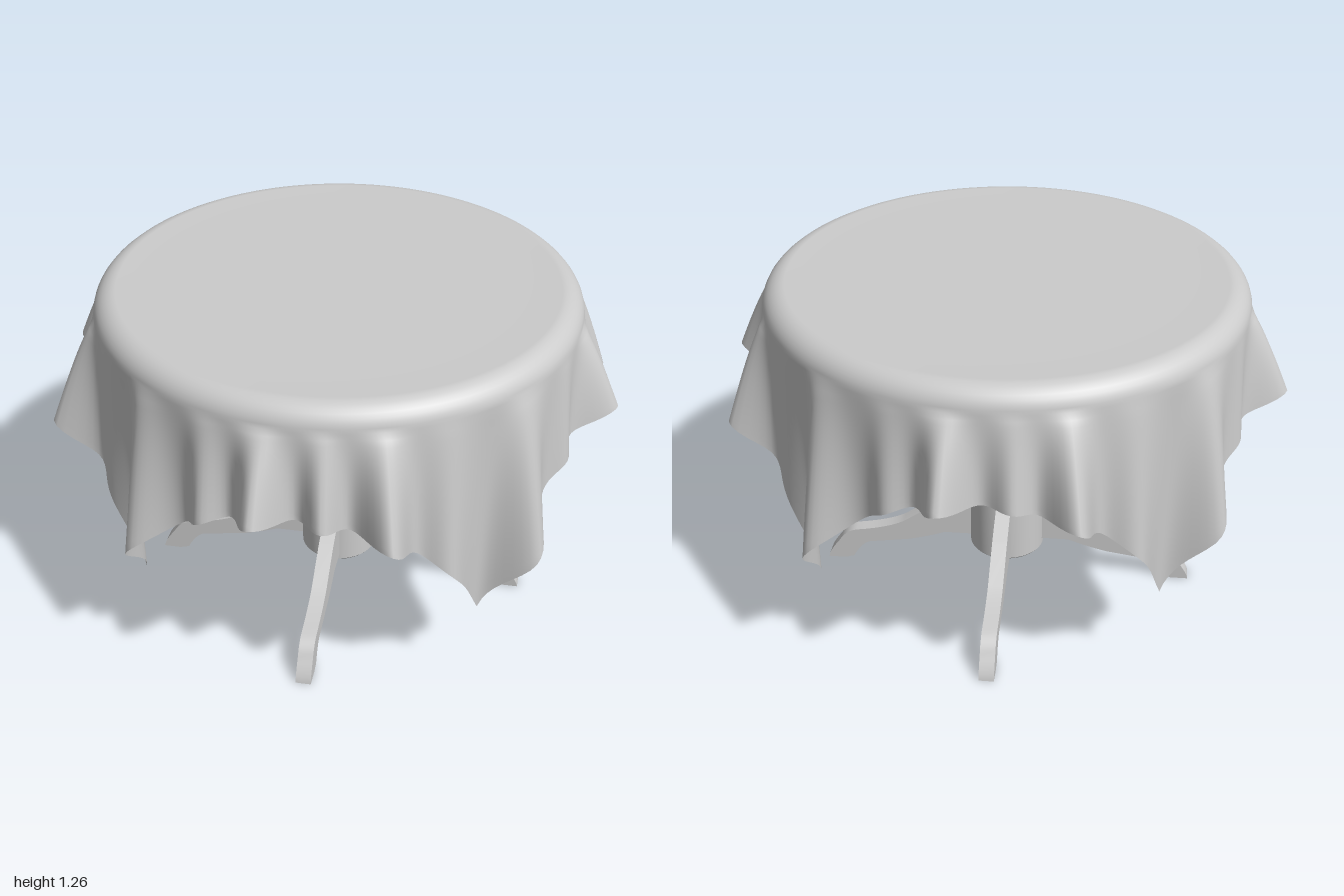
import * as THREE from 'three';
import { toCreasedNormals } from 'three/addons/utils/BufferGeometryUtils.js';

const material = new THREE.MeshStandardMaterial({ color: 0xcccccc });
const clothMaterial = new THREE.MeshStandardMaterial({ color: 0xcccccc, side: THREE.DoubleSide });

function part(name, geometry, mat = material) {
  const mesh = new THREE.Mesh(geometry, mat);
  mesh.name = name;
  return mesh;
}

function lathe(points, segments = 64) {
  const geometry = new THREE.LatheGeometry(points.map(([r, y]) => new THREE.Vector2(r, y)), segments);
  return toCreasedNormals(geometry, 0.6);
}

// Rounded bead between two heights, bulging from radius r0 to r1
function bead(y0, y1, r0, r1) {
  return Array.from({ length: 13 }, (_, i) => {
    const t = i / 12;
    return [r0 + (r1 - r0) * Math.sin(Math.PI * t), y0 + (y1 - y0) * t];
  });
}

// Folds of the cloth: [angle in degrees from +x towards +z, outward reach at the hem, width before, width after]
const FOLDS = [
  [-21, 0.155, 4.5, 4.5], [-7, 0.03, 4, 4], [4, 0.148, 5, 5], [19, 0.04, 4, 4],
  [36.5, 0.125, 6, 4.5], [45, -0.025, 4, 4], [56, 0.06, 5, 5],
  [70, 0.16, 4.5, 4.5], [83, 0.1, 3.5, 3.5], [96, 0.15, 4.5, 4.5], [109, 0.07, 4, 4],
  [126.5, 0.125, 6, 4.5], [135, -0.03, 4, 4], [146, 0.03, 5, 5],
  [158, 0.175, 4.5, 4.5], [170, 0.06, 4, 4], [185, 0.148, 4.5, 4.5], [199, 0.03, 4, 4],
  [215.5, 0.115, 6, 4.5], [225, -0.025, 4, 4], [236, 0.06, 5, 5],
  [251, 0.16, 4.5, 4.5], [263, 0.07, 4, 4], [277, 0.148, 4.5, 4.5], [290, 0.045, 4, 4],
  [308, 0.125, 6, 4.5], [315, -0.03, 4, 4], [326, 0.02, 5, 5],
];

// Outward reach of the hem at an angle
function foldReach(deg) {
  let reach = 0;
  for (const [angle, out, before, after] of FOLDS) {
    const d = ((deg - angle + 540) % 360) - 180;
    reach += out * Math.exp(-((d / (d < 0 ? before : after)) ** 2));
  }
  return reach;
}

// Square cloth draped over a round top: flat disc, rolled edge, then a pleated skirt
function clothGeometry() {
  const around = 360, half = 1.22, flat = 0.773, roll = 0.082, topY = 1.26;
  const arcSteps = 8, skirtSteps = 18;
  const rings = [];
  for (const r of [0, 0.3, 0.6, 0.72]) rings.push(() => [r, topY - 0.003]);
  for (let i = 0; i <= arcSteps; i++) {
    const a = (i / arcSteps) * Math.PI / 2;
    rings.push(() => [flat + roll * Math.sin(a), topY - roll * (1 - Math.cos(a))]);
  }
  for (let i = 1; i <= skirtSteps; i++) {
    const t = i / skirtSteps;
    rings.push((theta, reach) => {
      const hem = half / Math.max(Math.abs(Math.cos(theta)), Math.abs(Math.sin(theta)));
      const length = hem - flat - roll * Math.PI / 2;
      const drop = Math.sqrt(length * length - reach * reach);
      return [flat + roll + reach * t ** 0.8, topY - roll - drop * t];
    });
  }
  const positions = [], index = [];
  rings.forEach((ring, i) => {
    for (let j = 0; j < around; j++) {
      const theta = (j / around) * Math.PI * 2;
      const [r, y] = ring(theta, foldReach((j / around) * 360));
      positions.push(r * Math.cos(theta), y, r * Math.sin(theta));
      if (i === 0) continue;
      const k = (j + 1) % around;
      const a = (i - 1) * around + j, b = i * around + j;
      const c = (i - 1) * around + k, d = i * around + k;
      index.push(a, c, b, c, d, b);
    }
  });
  const geometry = new THREE.BufferGeometry();
  geometry.setAttribute('position', new THREE.Float32BufferAttribute(positions, 3));
  geometry.setIndex(index);
  geometry.computeVertexNormals();
  return geometry;
}

// Flat-sided curved leg, cut from a board and lying along +x
function legGeometry() {
  const thickness = 0.055;
  const s = new THREE.Shape();
  s.moveTo(0.1, 0.15);
  s.lineTo(0.24, 0.15);
  s.quadraticCurveTo(0.32, 0.12, 0.39, 0.105);
  s.lineTo(0.54, 0.083);
  s.quadraticCurveTo(0.575, 0.07, 0.605, 0.01);
  s.lineTo(0.64, 0);
  s.lineTo(0.705, 0);
  s.quadraticCurveTo(0.7, 0.03, 0.66, 0.08);
  s.quadraticCurveTo(0.635, 0.125, 0.59, 0.135);
  s.quadraticCurveTo(0.46, 0.155, 0.4, 0.19);
  s.lineTo(0.27, 0.28);
  s.quadraticCurveTo(0.21, 0.31, 0.14, 0.345);
  s.lineTo(0.1, 0.35);
  const geometry = new THREE.ExtrudeGeometry(s, { depth: thickness, bevelEnabled: false, curveSegments: 6 });
  geometry.translate(0, 0, -thickness / 2);
  return toCreasedNormals(geometry, 0.5);
}

export function createModel() {
  const table = new THREE.Group();
  table.name = 'pedestalTable';

  table.add(part('tablecloth', clothGeometry(), clothMaterial));

  // Round top with a deep rim and a recessed underside
  table.add(part('tabletop', lathe([
    [0, 1.16], [0.74, 1.16], [0.74, 1.04], [0.815, 1.04], [0.815, 1.21], [0.775, 1.245], [0, 1.245],
  ], 96)));

  // Turned column: two beads, a ball, a neck and a flared head
  table.add(part('column', lathe([
    [0.09, 0.39], [0.09, 0.44],
    ...bead(0.44, 0.53, 0.09, 0.13),
    ...bead(0.535, 0.63, 0.09, 0.13),
    [0.088, 0.65], [0.125, 0.668], [0.148, 0.695], [0.16, 0.73], [0.16, 0.755], [0.15, 0.795],
    [0.13, 0.83], [0.1, 0.865], [0.075, 0.9], [0.062, 0.94], [0.06, 0.97],
    ...bead(0.975, 1.02, 0.06, 0.075),
    [0.065, 1.05], [0.08, 1.1], [0.11, 1.14], [0.15, 1.155], [0.15, 1.17],
  ])));

  // Cylindrical hub that holds the legs
  table.add(part('hub', lathe([
    [0, 0.12], [0.135, 0.12], [0.14, 0.126], [0.14, 0.385], [0.115, 0.402], [0, 0.402],
  ])));

  const leg = legGeometry();
  for (let i = 0; i < 4; i++) {
    const mesh = part('leg', leg);
    mesh.rotation.y = (i * Math.PI) / 2;
    table.add(mesh);
  }
  return table;
}
